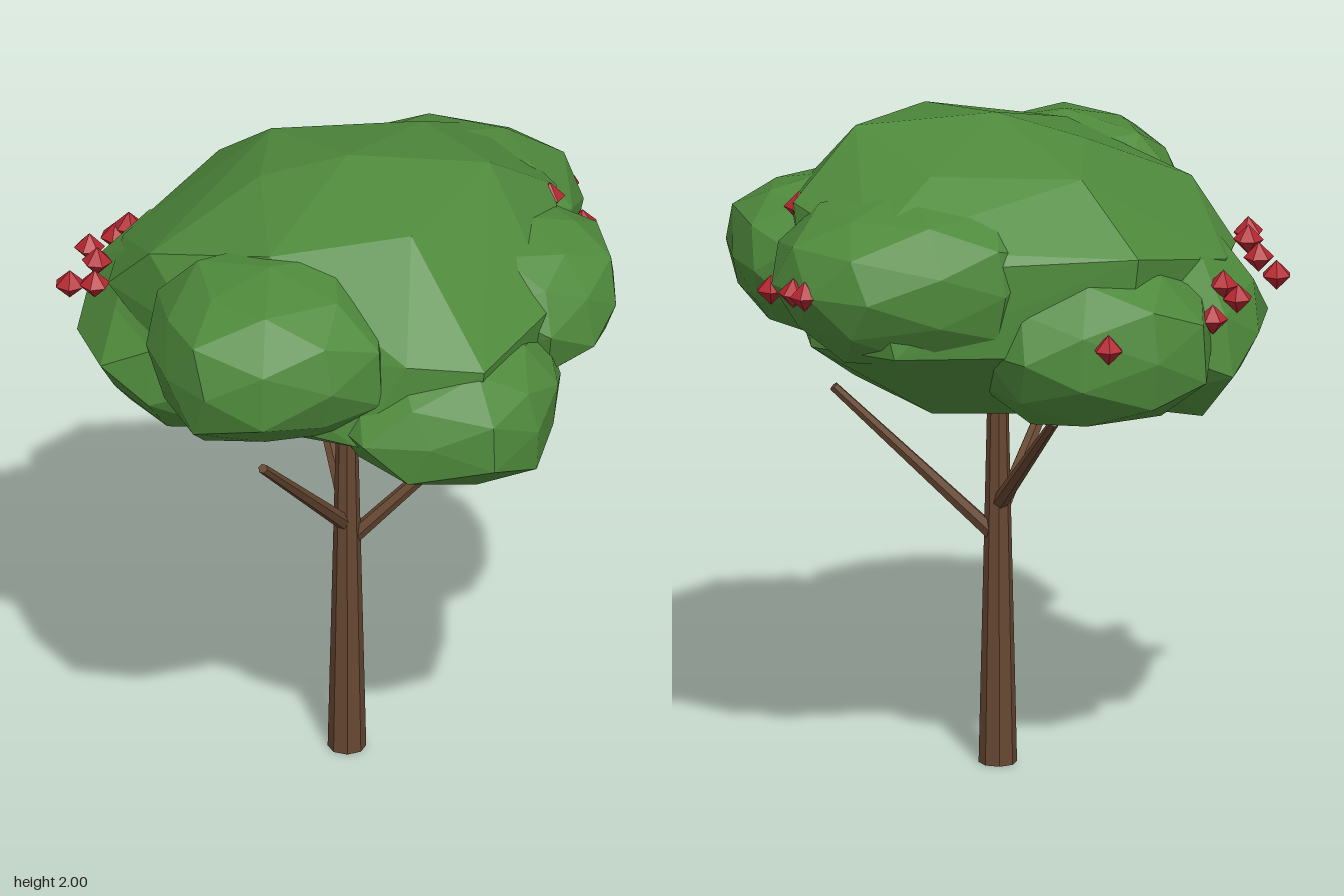
import * as THREE from 'three';
import { ConvexGeometry } from 'three/addons/geometries/ConvexGeometry.js';

const leaf = new THREE.MeshStandardMaterial({ color: 0x4f8a3c, flatShading: true });
leaf.name = 'leaf green';
const bark = new THREE.MeshStandardMaterial({ color: 0x664731, flatShading: true });
bark.name = 'bark brown';
const red = new THREE.MeshStandardMaterial({ color: 0xb3262f, flatShading: true });
red.name = 'fruit red';

// repeatable 0..1 value for a vertex, equal for coincident corners
function hash(x, y, z, seed) {
  const q = (n) => Math.round(n * 100);
  const s = Math.sin(q(x) * 12.9898 + q(y) * 78.233 + q(z) * 37.719 + seed * 17.17) * 4375.85;
  return s - Math.floor(s);
}

// irregular faceted foliage lump, slightly boxy seen from above
function makeLump(name, [cx, cy, cz], [rx, ry, rz], turn, seed) {
  const geo = new THREE.IcosahedronGeometry(1, 1);
  const p = geo.attributes.position;
  const c = Math.cos(turn), s = Math.sin(turn);
  const boxy = (n) => Math.sign(n) * Math.pow(Math.abs(n), 0.87);
  for (let i = 0; i < p.count; i++) {
    const x = p.getX(i), y = p.getY(i), z = p.getZ(i);
    const k = 1 + 0.16 * (hash(x, y, z, seed) - 0.5);
    p.setXYZ(i,
      cx + boxy(x * c + z * s) * rx * k,
      Math.max(cy + y * ry * k, 1.12),
      cz + boxy(z * c - x * s) * rz * k);
  }
  geo.computeVertexNormals();
  const mesh = new THREE.Mesh(geo, leaf);
  mesh.name = name;
  return mesh;
}

// broad crown with large facets, set out in rings from top to bottom
function makeCrown() {
  const points = [
    // top
    [0.04, 2, -0.04], [0.46, 1.97, -0.04], [0.22, 1.93, 0.33], [-0.2, 1.87, 0.34],
    [-0.22, 1.92, -0.06], [-0.18, 1.89, -0.4], [0.27, 1.91, -0.4],
    // shoulder
    [-0.55, 1.75, 0.1], [-0.67, 1.58, -0.03], [-0.62, 1.6, -0.28], [-0.33, 1.7, -0.61],
    [0.1, 1.7, -0.65], [0.48, 1.76, -0.64], [0.66, 1.79, -0.22], [0.65, 1.65, 0.25],
    [0.43, 1.62, 0.61], [0.2, 1.64, 0.61], [-0.4, 1.6, 0.38],
    // skirt
    [-0.57, 1.4, -0.1], [-0.38, 1.38, 0.4], [0.05, 1.38, 0.62], [0.4, 1.4, 0.6],
    [0.63, 1.4, 0.2], [0.63, 1.42, -0.48], [0.4, 1.43, -0.68], [-0.3, 1.4, -0.6],
    // underside
    [-0.22, 1.16, 0.12], [0.2, 1.19, 0.32], [0.46, 1.19, 0], [0.26, 1.17, -0.36], [-0.22, 1.14, -0.3]
  ];
  const mesh = new THREE.Mesh(new ConvexGeometry(points.map((q) => new THREE.Vector3(...q))), leaf);
  mesh.name = 'crown';
  return mesh;
}

// tapered limb between two points
function makeLimb(name, from, to, r0, r1, sides) {
  const a = new THREE.Vector3(...from), b = new THREE.Vector3(...to);
  const dir = b.clone().sub(a);
  const mesh = new THREE.Mesh(new THREE.CylinderGeometry(r1, r0, dir.length(), sides), bark);
  mesh.position.copy(a).add(b).multiplyScalar(0.5);
  mesh.quaternion.setFromUnitVectors(new THREE.Vector3(0, 1, 0), dir.normalize());
  mesh.name = name;
  return mesh;
}

export function createModel() {
  const tree = new THREE.Group();
  tree.name = 'fruitTree';

  // trunk and three branches
  tree.add(makeLimb('trunk', [0.037, 0, -0.037], [0.037, 1.27, -0.037], 0.057, 0.028, 8));
  tree.add(makeLimb('leftBranch', [0.037, 0.69, -0.04], [0.525, 1.17, -0.045], 0.025, 0.015, 6));
  tree.add(makeLimb('frontBranch', [0.037, 0.75, -0.037], [-0.22, 1.175, 0.38], 0.025, 0.015, 6));
  tree.add(makeLimb('backBranch', [0.037, 0.79, -0.037], [-0.09, 1.175, -0.5], 0.025, 0.015, 6));

  // canopy: the crown with lumps around it
  const canopy = new THREE.Group();
  canopy.name = 'canopy';
  canopy.add(
    makeCrown(),
    makeLump('frontLump', [-0.2, 1.6, 0.41], [0.36, 0.27, 0.35], 0.5, 3),
    makeLump('frontLeftLump', [0.32, 1.41, 0.38], [0.36, 0.23, 0.35], 0.9, 5),
    makeLump('leftLump', [0.56, 1.58, 0.01], [0.28, 0.24, 0.31], 0.2, 7),
    makeLump('backLeftLump', [0.34, 1.61, -0.39], [0.41, 0.25, 0.36], 0.7, 11),
    makeLump('backRightLump', [-0.22, 1.41, -0.41], [0.36, 0.27, 0.34], 0.4, 13),
    makeLump('rightLump', [-0.385, 1.39, -0.15], [0.355, 0.28, 0.41], 0.1, 17)
  );
  tree.add(canopy);

  // small faceted fruits on the outside of the canopy
  const fruits = new THREE.Group();
  fruits.name = 'fruits';
  const fruitGeo = new THREE.SphereGeometry(0.046, 6, 2);
  const spots = [
    [0.64, 1.77, -0.19], [0.74, 1.57, -0.38], [0.69, 1.61, -0.56], [0.66, 1.61, -0.6],
    [-0.23, 1.46, -0.73], [-0.56, 1.48, -0.5], [-0.64, 1.52, -0.42], [-0.6, 1.56, -0.41],
    [-0.72, 1.59, -0.23], [-0.78, 1.51, -0.15], [-0.7, 1.61, -0.11], [-0.71, 1.6, 0.01]
  ];
  spots.forEach((at, i) => {
    const fruit = new THREE.Mesh(fruitGeo, red);
    fruit.position.set(...at);
    fruit.rotation.y = i * 0.4;
    fruit.name = 'fruit' + (i + 1);
    fruits.add(fruit);
  });
  tree.add(fruits);
  return tree;
}
